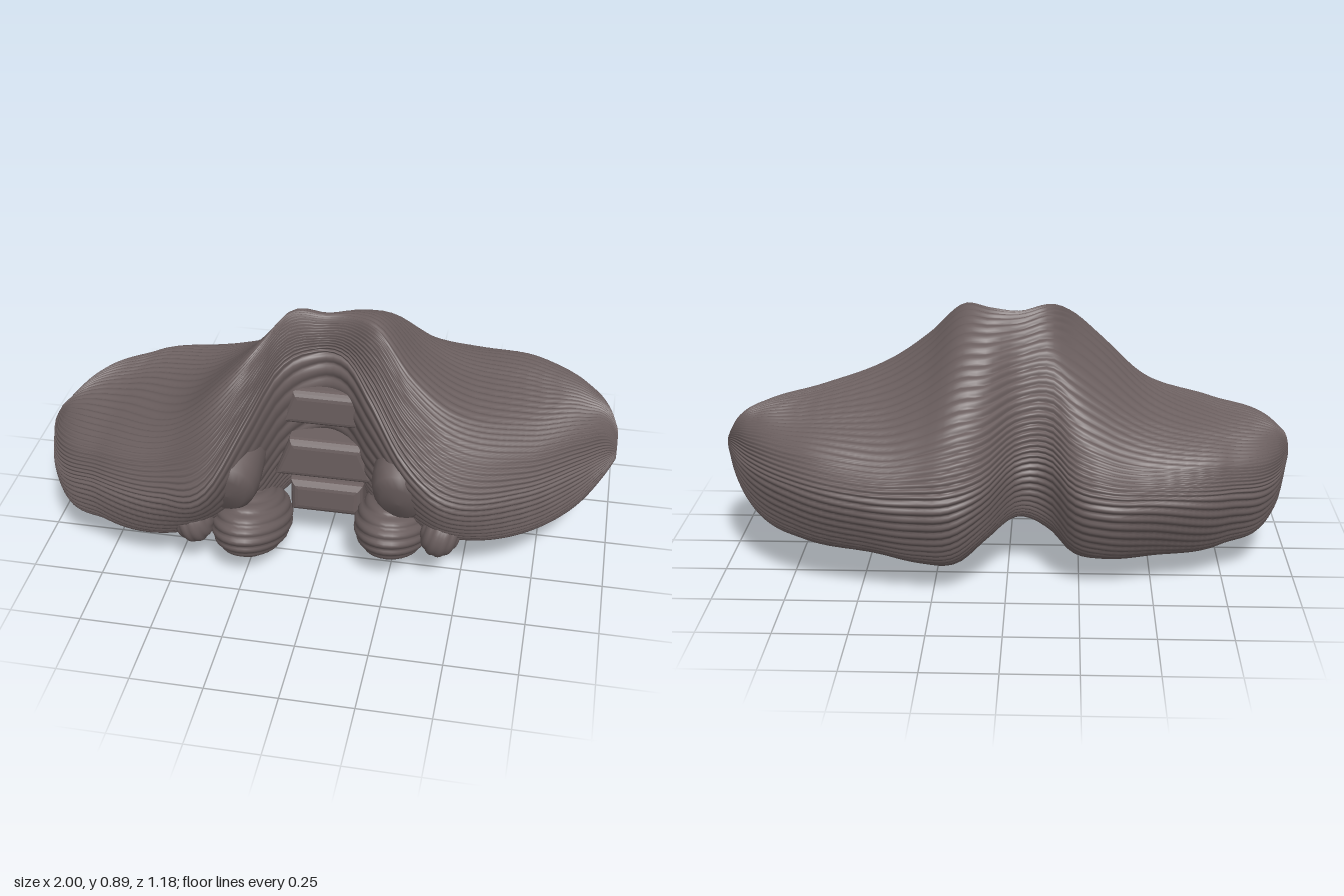
import * as THREE from 'three';

const material = new THREE.MeshStandardMaterial({ color: 0x6b5f5f, roughness: 0.8 });
const lerp = THREE.MathUtils.lerp;

// Stations across the body: x, back z/y, crest z/y, front z/y, lower front z, bottom y
const STATIONS = [
  [-1, .02, .36, .1, .41, .18, .37, .16, .32],
  [-.95, -.17, .35, .14, .44, .33, .35, .3, .17],
  [-.75, -.38, .36, .2, .48, .47, .37, .42, .055],
  [-.5, -.48, .37, .27, .56, .55, .4, .45, .035],
  [-.33, -.515, .38, .27, .72, .57, .47, .36, .04],
  [-.22, -.47, .4, .2, .83, .42, .66, .3, .06],
  [-.15, -.355, .44, .08, .885, .27, .77, .2, .12],
  [-.03, -.35, .45, .04, .87, .17, .8, .14, .18],
  [.07, -.52, .42, .05, .88, .19, .79, .16, .14],
  [.17, -.585, .41, .12, .88, .3, .71, .25, .05],
  [.3, -.585, .41, .2, .75, .42, .56, .3, .04],
  [.45, -.575, .41, .22, .64, .47, .46, .36, .07],
  [.7, -.49, .41, .1, .56, .33, .42, .29, .1],
  [.88, -.33, .41, 0, .54, .16, .42, .14, .17],
  [.97, -.18, .42, -.04, .5, .06, .42, .04, .29],
  [1, -.1, .42, -.03, .45, .03, .42, .02, .37],
];

// Closed outline (z, y) of one slice; the top goes from tent-shaped to flat towards the tips
function slice([zB, yB, zT, yT, zF, yF, zL, yBot], flat, divisions) {
  const points = [
    [zB, yB],
    [lerp(zB, zT, lerp(.16, .11, flat)), lerp(yB, yT, lerp(.33, .62, flat))],
    [lerp(zB, zT, .5), lerp(yB, yT, lerp(.7, .93, flat))],
    [zT, yT],
    [lerp(zT, zF, lerp(.65, .75, flat)), lerp(yT, yF, lerp(.35, .25, flat))],
    [zF, yF],
    [zL, lerp(yBot, yF, .42)],
    [lerp(zL, zB, .22), lerp(yBot, yF, .09)],
    [lerp(zL, zB, .58), yBot],
    [lerp(zL, zB, .87), lerp(yBot, yB, .32)],
  ].map(([z, y]) => new THREE.Vector3(z, y, 0));
  return new THREE.CatmullRomCurve3(points, true, 'centripetal').getPoints(divisions);
}

// Both hemispheres and the bridge between them, with leaf-like folds around each slice
function foldedBody() {
  const steps = 120, around = 480, folds = 72;
  const width = STATIONS[0].length - 1;
  const spline = new THREE.CubicInterpolant(
    STATIONS.map(s => s[0]), STATIONS.flatMap(s => s.slice(1)), width, new Float32Array(width));
  const positions = [], index = [];
  for (let i = 0; i <= steps; i++) {
    const x = -Math.cos(Math.PI * i / steps);
    const flat = THREE.MathUtils.smoothstep(Math.abs(x), .35, .75);
    const ring = slice(Array.from(spline.evaluate(x)), flat, around);
    const height = .005 * Math.min(1, (1 - Math.abs(x)) * 12 + .2);
    for (let j = 0; j < around; j++) {
      const p = ring[j], before = ring[(j + around - 1) % around], after = ring[j + 1];
      const t = after.clone().sub(before).normalize();
      const u = j / around;
      const wave = folds * u + .9 * Math.sin(5 * x) + .5 * Math.sin(6 * Math.PI * u + 3 * x);
      const d = height * (Math.abs(Math.sin(Math.PI * wave)) * 2 - 1.6);
      positions.push(x, p.y + t.x * d, p.x - t.y * d);
      if (i < steps) {
        const k = (j + 1) % around, a = i * around + j, b = i * around + k;
        index.push(a, b, a + around, b, b + around, a + around);
      }
    }
  }
  // Close both outer tips
  for (const [start, flip] of [[0, true], [steps * around, false]]) {
    const tip = positions.length / 3, c = [0, 0, 0];
    for (let j = 0; j < around; j++)
      for (let n = 0; n < 3; n++) c[n] += positions[(start + j) * 3 + n] / around;
    positions.push(...c);
    for (let j = 0; j < around; j++) {
      const a = start + j, b = start + (j + 1) % around;
      index.push(...(flip ? [b, a, tip] : [a, b, tip]));
    }
  }
  const geometry = new THREE.BufferGeometry();
  geometry.setAttribute('position', new THREE.Float32BufferAttribute(positions, 3));
  geometry.setIndex(index);
  geometry.computeVertexNormals();
  return geometry;
}

function part(name, geometry, position, rotation = [0, 0, 0]) {
  const mesh = new THREE.Mesh(geometry, material);
  mesh.name = name;
  mesh.position.set(...position);
  mesh.rotation.set(...rotation);
  return mesh;
}

// Ellipsoid wrinkled along its own y axis
function wrinkledLobe(radii, folds) {
  const geometry = new THREE.SphereGeometry(1, 32, folds * 6);
  const pos = geometry.attributes.position, v = new THREE.Vector3();
  for (let i = 0; i < pos.count; i++) {
    v.fromBufferAttribute(pos, i);
    const angle = Math.acos(THREE.MathUtils.clamp(v.y, -1, 1));
    v.multiplyScalar(.95 + .05 * Math.abs(Math.sin(angle * folds)));
    pos.setXYZ(i, v.x, v.y, v.z);
  }
  geometry.scale(...radii);
  geometry.computeVertexNormals();
  return geometry;
}

// Arched step spanning the hollow, rounded at the front
function archStep(halfTop, halfBottom, height, depth) {
  const bevel = .03, h = height / 2 - bevel;
  const shape = new THREE.Shape([
    new THREE.Vector2(-halfBottom, -h), new THREE.Vector2(halfBottom, -h),
    new THREE.Vector2(halfTop, h), new THREE.Vector2(-halfTop, h)]);
  return new THREE.ExtrudeGeometry(shape, {
    depth, bevelThickness: bevel, bevelSize: bevel, bevelSegments: 4 });
}

// Blunt cut stalk facing forward
function stalk() {
  const profile = [[0, .07], [.06, .065], [.088, .04], [.1, 0], [.1, -.12]]
    .reverse().map(p => new THREE.Vector2(...p));
  return new THREE.LatheGeometry(profile, 20).rotateX(Math.PI / 2).scale(1, 1.4, 1);
}

export function createModel() {
  const group = new THREE.Group();
  group.name = 'foldedBrainLobe';
  group.add(part('hemispheres', foldedBody(), [0, 0, 0]));

  // Stepped lobules in the front hollow
  [[.6, .1, .13, .14, .03], [.4, .11, .15, .16, .05], [.235, .1, .1, .13, .04]]
    .forEach(([y, top, bottom, height, z], i) =>
      group.add(part('middleLobule' + (i + 1), archStep(top, bottom, height, .17), [.01, y, z])));

  // Paired stalks, lower lobes and side tufts; the right side sits further forward
  for (const side of [-1, 1]) {
    const label = side > 0 ? 'left' : 'right', shift = side > 0 ? 0 : .06;
    group.add(part(label + 'Stalk', stalk(), [side * .29, .4, .34 + shift], [.35, 0, side * .2]));
    group.add(part(label + 'LowerLobe', wrinkledLobe([.14, .125, .25], 10),
      [side * .25, .16 - shift * .25, .21 + shift], [-.35, 0, 0]));
    group.add(part(label + 'Tuft', wrinkledLobe([.09, .07, .08], 6),
      [side * .43, .22, .33 + shift * 1.2], [0, 0, 1.3 * side]));
  }
  return group;
}
